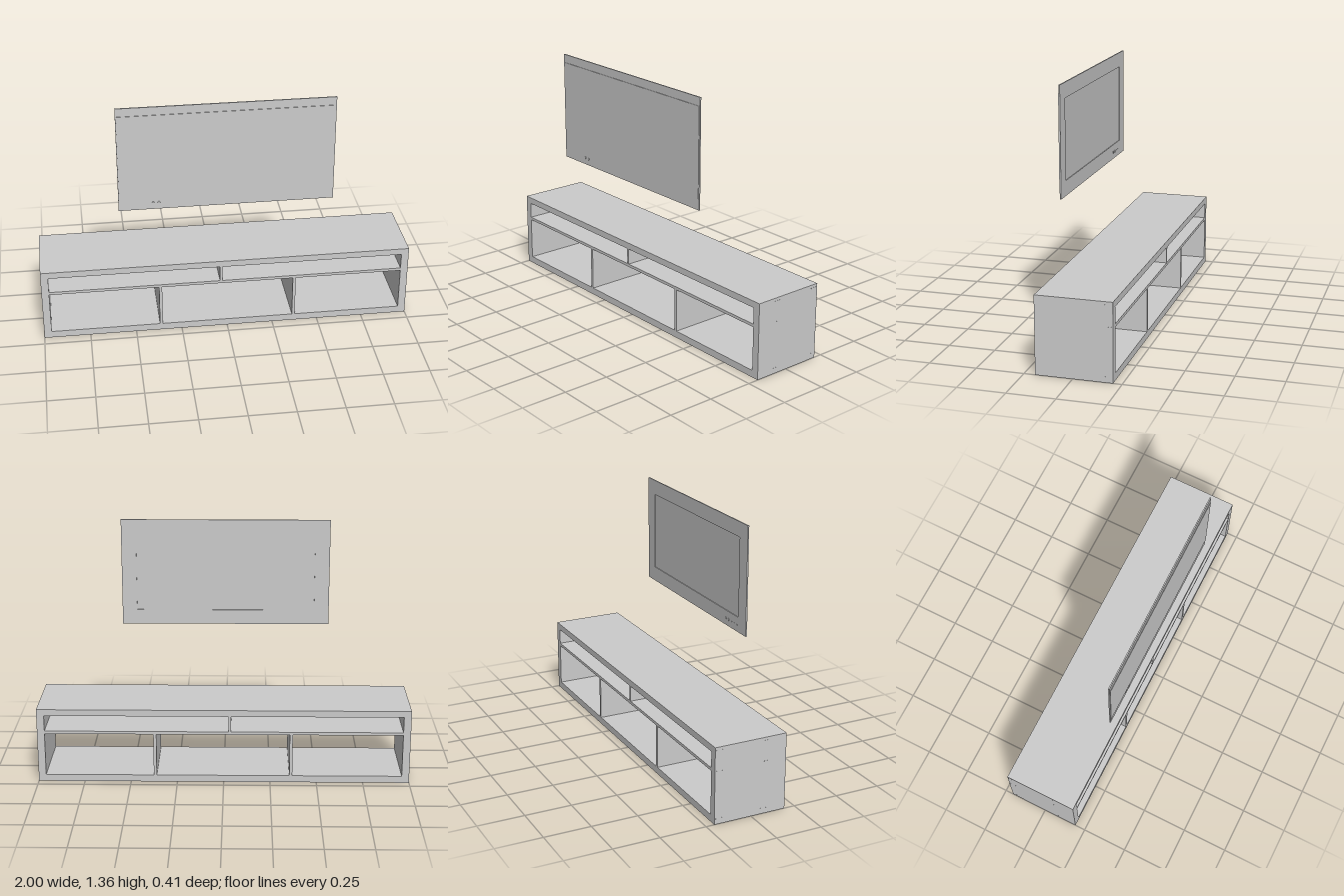
import * as THREE from 'three';

const material = new THREE.MeshStandardMaterial({ color: 0xcccccc });

function mesh(parent, name, geometry, x = 0, y = 0, z = 0) {
  const m = new THREE.Mesh(geometry, material);
  m.name = name;
  m.position.set(x, y, z);
  parent.add(m);
  return m;
}

// Box given by its minimum and maximum corners
function slab(parent, name, [x0, y0, z0], [x1, y1, z1]) {
  return mesh(parent, name, new THREE.BoxGeometry(x1 - x0, y1 - y0, z1 - z0),
    (x0 + x1) / 2, (y0 + y1) / 2, (z0 + z1) / 2);
}

function rectangle(PathType, x0, y0, x1, y1) {
  return new PathType([[x0, y0], [x1, y0], [x1, y1], [x0, y1]].map(p => new THREE.Vector2(...p)));
}

function createCabinet() {
  const g = new THREE.Group();
  g.name = 'cabinet';
  const back = -0.205, front = 0.192, height = 0.412, inner = 0.96;

  // Outer case, open at the front and back
  const shape = rectangle(THREE.Shape, -1, 0, 1, height);
  shape.holes.push(rectangle(THREE.Path, -inner, 0.038, inner, 0.377));
  mesh(g, 'case', new THREE.ExtrudeGeometry(shape, { depth: front - back, bevelEnabled: false }), 0, 0, back);

  // Shelf and the upright dividers
  slab(g, 'shelf', [-inner, 0.274, back], [inner, 0.29, front]);
  for (const x of [-0.362, 0.369])
    slab(g, 'lowerDivider', [x - 0.008, 0.038, back], [x + 0.008, 0.274, front]);
  slab(g, 'upperDivider', [-0.039, 0.29, back], [-0.027, 0.377, front]);

  // Rows of tiny fixings on both ends
  const pin = new THREE.CylinderGeometry(0.002, 0.002, 0.002, 8);
  for (const side of [-1, 1])
    for (const y of [0.03, 0.285, 0.395])
      for (const z of [-0.18, 0.07])
        for (const dz of [-0.016, 0, 0.016])
          mesh(g, 'fixing', pin, side, y, z + dz).rotation.z = Math.PI / 2;
  return g;
}

function createScreen() {
  const g = new THREE.Group();
  g.name = 'screen';
  const x0 = -0.57, x1 = 0.56, y0 = 0.77, y1 = 1.355;

  // Front plate with a slightly raised display
  slab(g, 'frontPlate', [x0, y0, 0.2], [x1, y1, 0.203]);
  slab(g, 'display', [x0 + 0.004, 0.83, 0.203], [x1 - 0.004, 1.31, 0.206]);

  // Rear frame around a shallow recess
  const shape = rectangle(THREE.Shape, x0, y0, x1, y1);
  shape.holes.push(rectangle(THREE.Path, x0 + 0.08, y0 + 0.08, x1 - 0.08, y1 - 0.08));
  mesh(g, 'rearFrame', new THREE.ExtrudeGeometry(shape, { depth: 0.004, bevelEnabled: false }), 0, 0, 0.196);

  // Buttons passing through the lower edge, and small rear sockets
  for (const x of [-0.39, -0.36])
    mesh(g, 'button', new THREE.CylinderGeometry(0.007, 0.007, 0.014, 12), x, 0.807, 0.2).rotation.x = Math.PI / 2;
  for (const x of [-0.48, -0.45, -0.42])
    slab(g, 'socket', [x - 0.005, 0.804, 0.194], [x + 0.005, 0.809, 0.197]);
  return g;
}

export function createModel() {
  const model = new THREE.Group();
  model.name = 'mediaUnit';
  model.add(createCabinet(), createScreen());
  return model;
}
